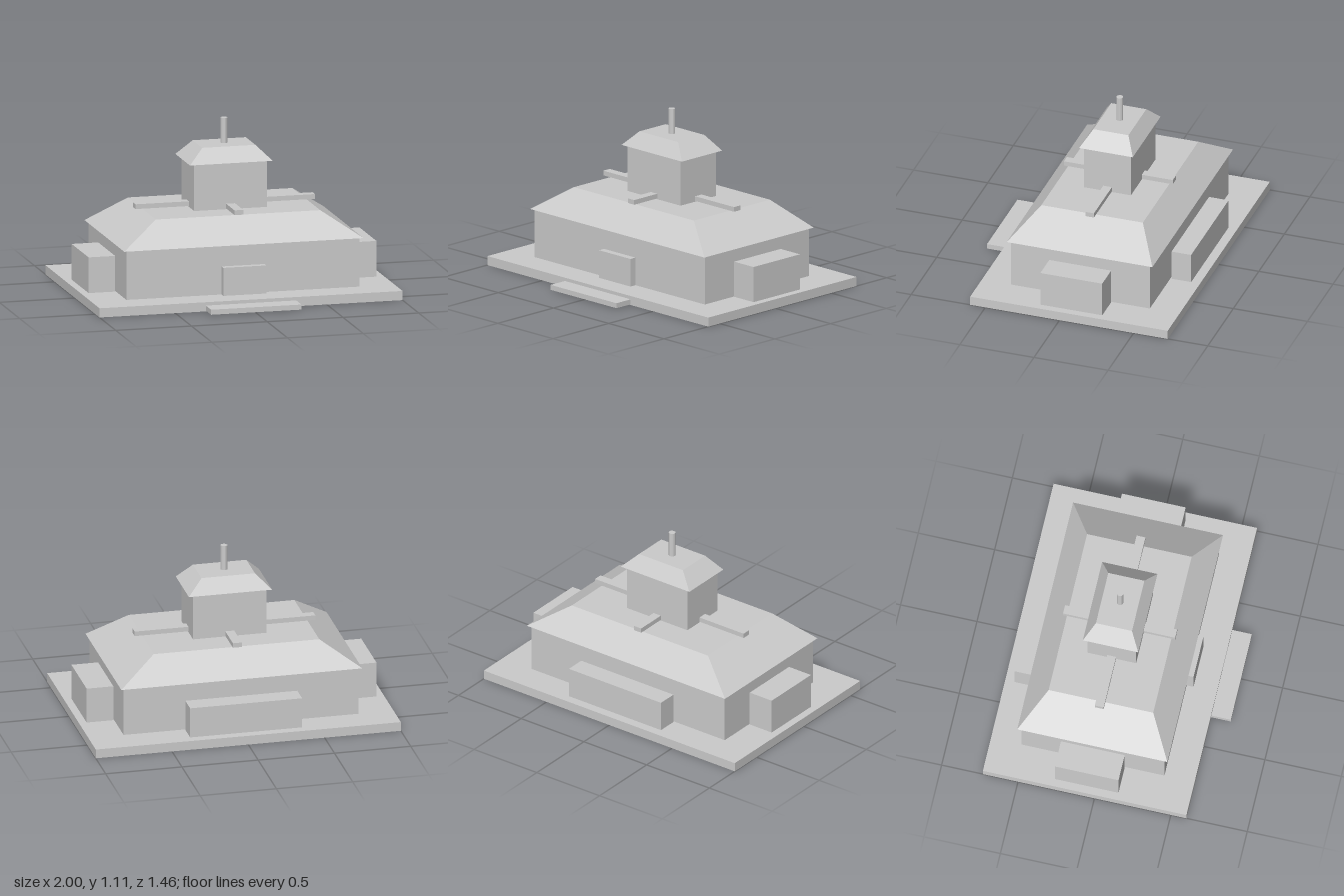
import * as THREE from 'three';

const CZ = -0.063; // z of the building's centre line

export function createModel() {
  const group = new THREE.Group();
  const material = new THREE.MeshStandardMaterial({ color: 0xcccccc, flatShading: true });

  function add(name, geometry) {
    const mesh = new THREE.Mesh(geometry, material);
    mesh.name = name;
    group.add(mesh);
    return mesh;
  }

  // Box given by its extents along each axis
  function block(name, [x0, x1], [y0, y1], [z0, z1]) {
    const mesh = add(name, new THREE.BoxGeometry(x1 - x0, y1 - y0, z1 - z0));
    mesh.position.set((x0 + x1) / 2, (y0 + y1) / 2, (z0 + z1) / 2);
  }

  // Hipped roof with a flat top: a box whose upper corners are drawn inwards
  function hipRoof(name, [y0, y1], [eaveX, eaveZ], [topX, topZ]) {
    const geometry = new THREE.BoxGeometry(eaveX * 2, y1 - y0, eaveZ * 2);
    const pos = geometry.attributes.position;
    for (let i = 0; i < pos.count; i++) {
      if (pos.getY(i) > 0) {
        pos.setX(i, Math.sign(pos.getX(i)) * topX);
        pos.setZ(i, Math.sign(pos.getZ(i)) * topZ);
      }
    }
    geometry.computeVertexNormals();
    add(name, geometry).position.set(0, (y0 + y1) / 2, CZ);
  }

  // Ground slab and entrance step
  block('baseSlab', [-1, 1], [0, 0.06], [-0.73, 0.602]);
  block('entranceStep', [-0.298, 0.298], [0.005, 0.038], [0.602, 0.73]);

  // Main hall
  block('hallWalls', [-0.77, 0.77], [0.06, 0.38], [-0.53, 0.405]);
  hipRoof('hallRoof', [0.38, 0.545], [0.79, 0.491], [0.543, 0.342]);

  // Porch and annexes
  block('entrancePorch', [-0.142, 0.142], [0.06, 0.243], [0.405, 0.45]);
  block('rearAnnex', [-0.367, 0.367], [0.06, 0.26], [-0.67, -0.538]);
  block('leftAnnex', [0.775, 0.95], [0.06, 0.293], [-0.271, 0.146]);
  block('rightAnnex', [-0.95, -0.775], [0.06, 0.293], [-0.271, 0.146]);

  // Tower with its own hipped roof
  block('towerWalls', [-0.24, 0.24], [0.545, 0.848], [-0.22, 0.097]);
  hipRoof('towerRoof', [0.848, 0.945], [0.273, 0.181], [0.175, 0.118]);

  // Four beams reaching out from the tower
  for (const side of [-1, 1]) {
    const span = (a, b) => [side * a, side * b].sort((p, q) => p - q);
    block(side > 0 ? 'leftBeam' : 'rightBeam', span(0.24, 0.592), [0.55, 0.581], [CZ - 0.029, CZ + 0.029]);
    block(side > 0 ? 'frontBeam' : 'rearBeam', [-0.029, 0.029], [0.55, 0.581],
      span(0.158, 0.367).map((z) => z + CZ));
  }

  // Mast
  add('mast', new THREE.CylinderGeometry(0.022, 0.022, 0.165, 12)).position.set(0, 1.0275, CZ);

  return group;
}
